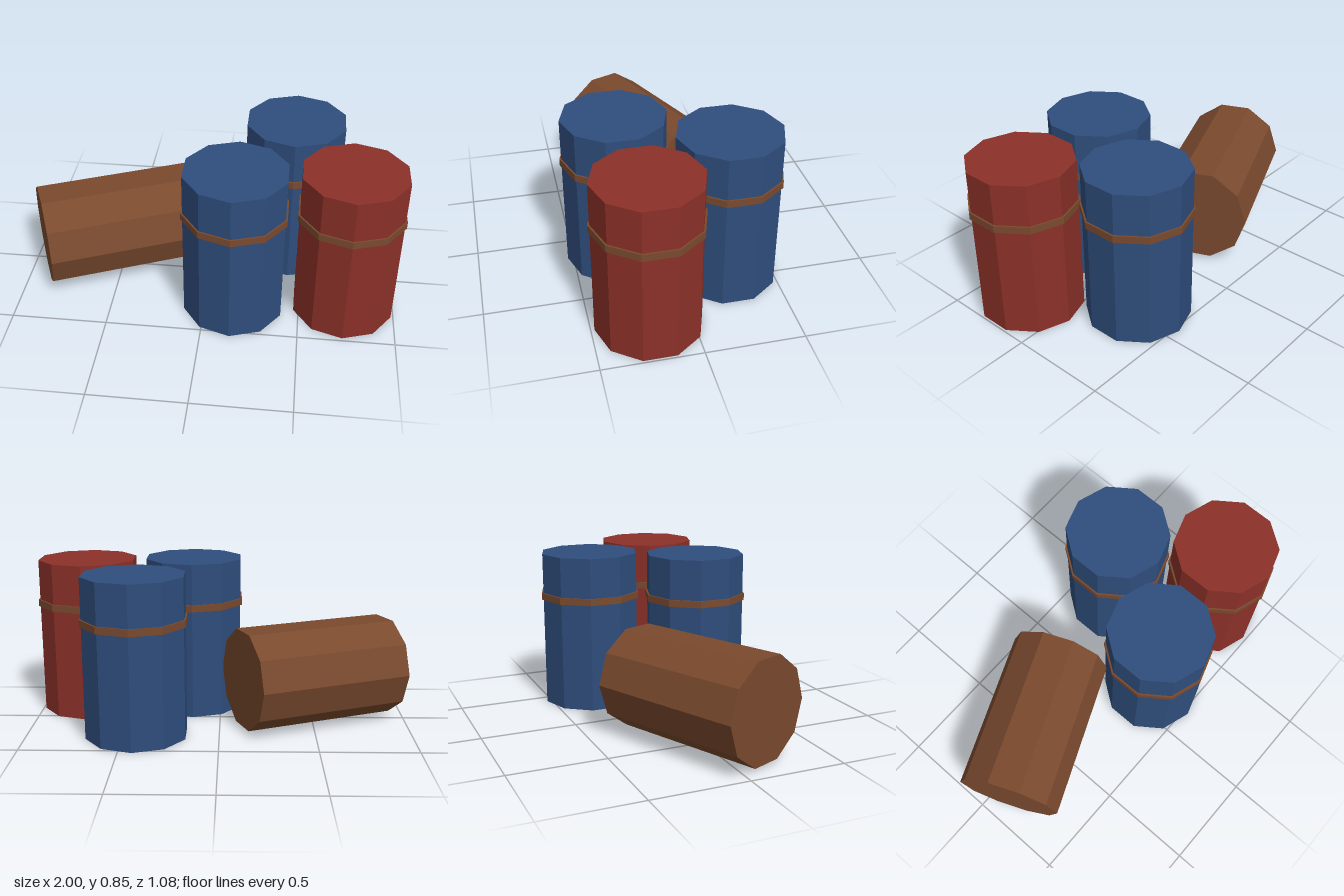
import * as THREE from 'three';

const RADIUS = 0.27, HEIGHT = 0.845, SIDES = 10;

const paint = (color) => new THREE.MeshStandardMaterial({ color, flatShading: true });

function prism(name, radius, height, material) {
  const mesh = new THREE.Mesh(new THREE.CylinderGeometry(radius, radius, height, SIDES), material);
  mesh.name = name;
  return mesh;
}

export function createModel() {
  const model = new THREE.Group();
  model.name = 'barrelStack';
  const blue = paint(0x2f4d7c), red = paint(0x8b3028), brown = paint(0x7a4a2e);

  // Upright barrels, each with a thin strap
  const upright = [
    ['frontBarrel', 0.15, 0.26, blue],
    ['backBarrel', 0.43, -0.258, blue],
    ['leftBarrel', 0.731, 0.212, red],
  ];
  for (const [name, x, z, material] of upright) {
    const barrel = new THREE.Group();
    barrel.name = name;
    const body = prism('body', RADIUS, HEIGHT, material);
    body.position.y = HEIGHT / 2;
    const strap = prism('strap', RADIUS + 0.009, 0.037, brown);
    strap.position.y = 0.611;
    barrel.add(body, strap);
    barrel.position.set(x, 0, z);
    model.add(barrel);
  }

  // Barrel lying on its side, turned away from the others
  const fallen = new THREE.Group();
  fallen.name = 'fallenBarrel';
  const body = prism('body', RADIUS, HEIGHT, brown);
  body.rotation.z = -Math.PI / 2;
  fallen.add(body);
  fallen.rotation.y = THREE.MathUtils.degToRad(23);
  fallen.position.set(-0.508, 0.276, -0.028);
  model.add(fallen);

  return model;
}
